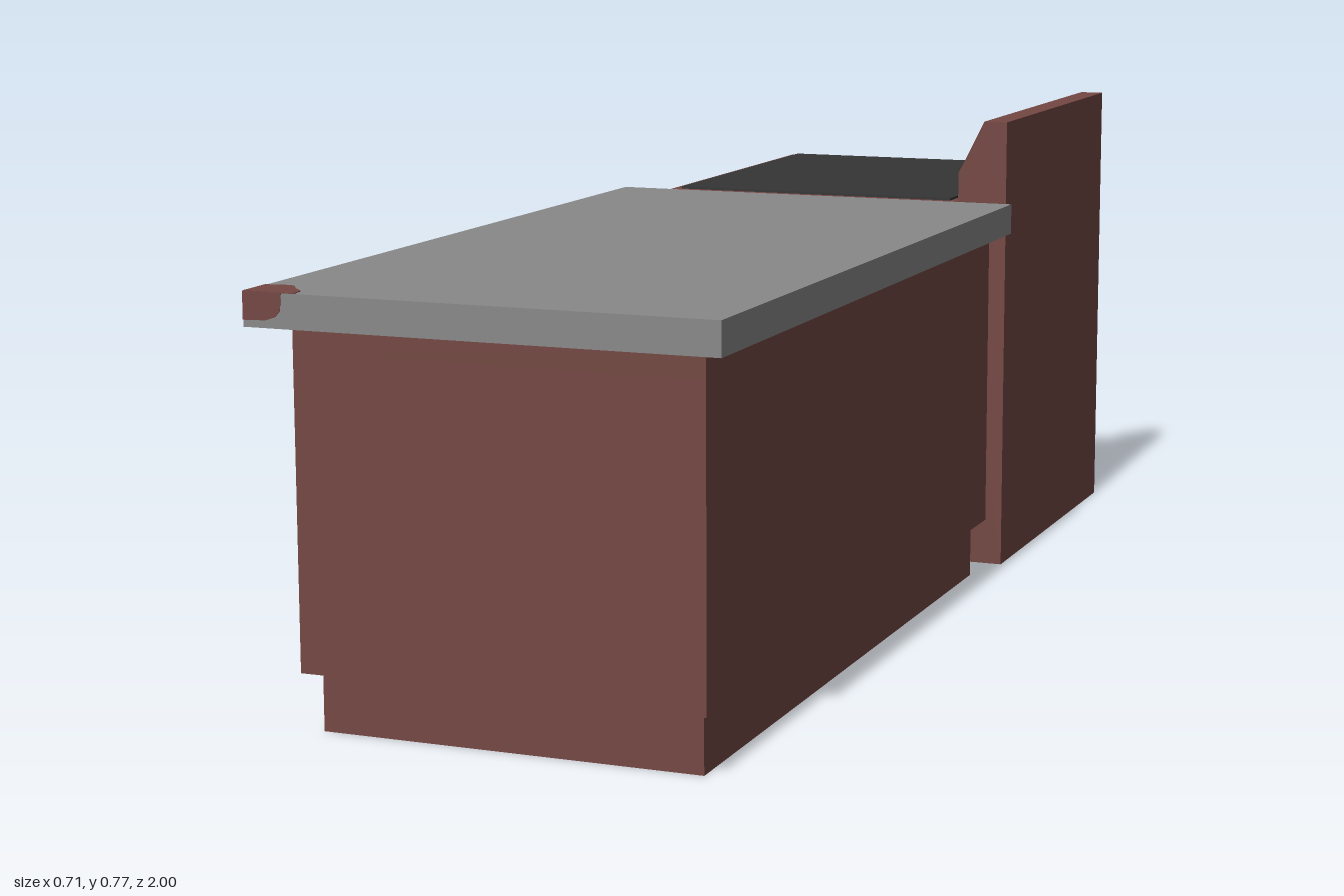
import * as THREE from 'three';

const brown = new THREE.MeshStandardMaterial({ color: 0x744843 });
brown.name = 'brown casing';
const grey = new THREE.MeshStandardMaterial({ color: 0x898989 });
grey.name = 'grey worktop';
const black = new THREE.MeshStandardMaterial({ color: 0x353535 });
black.name = 'black glass';

// Box given by its limits on each axis
function box(parent, name, mat, [x0, x1], [y0, y1], [z0, z1]) {
  const mesh = new THREE.Mesh(new THREE.BoxGeometry(x1 - x0, y1 - y0, z1 - z0), mat);
  mesh.position.set((x0 + x1) / 2, (y0 + y1) / 2, (z0 + z1) / 2);
  mesh.name = name;
  parent.add(mesh);
  return mesh;
}

const outline = (pts) => new THREE.Shape(pts.map(([a, b]) => new THREE.Vector2(a, b)));

// Thin plate cut from an outline, facing local +z
function plate(parent, name, mat, pts, depth) {
  const geo = new THREE.ExtrudeGeometry(outline(pts), { depth, bevelEnabled: false });
  const mesh = new THREE.Mesh(geo, mat);
  mesh.name = name;
  parent.add(mesh);
  return mesh;
}

function createCounter() {
  const g = new THREE.Group();
  g.name = 'counter';
  const X = [-0.29, 0.325], Y = [0.092, 0.585], Z = [-0.305, 0.98], t = 0.035;

  box(g, 'plinth', brown, [-0.273, 0.308], [0, Y[0]], [-0.275, 0.947]);

  // Cabinet shell, open towards -x in two bays
  const inY = [Y[0] + 0.042, Y[1] - t], inX = [X[0], X[1] - t];
  box(g, 'cabinetFloor', brown, X, [Y[0], inY[0]], Z);
  box(g, 'cabinetTop', brown, X, [inY[1], Y[1]], Z);
  box(g, 'cabinetBack', brown, [inX[1], X[1]], inY, Z);
  box(g, 'cabinetEndRear', brown, inX, inY, [Z[0], Z[0] + t]);
  box(g, 'cabinetEndFront', brown, inX, inY, [Z[1] - t, Z[1]]);
  const mid = (Z[0] + Z[1]) / 2;
  box(g, 'cabinetDivider', brown, inX, inY, [mid - t, mid + t]);

  box(g, 'worktop', grey, [-0.355, 0.355], [0.585, 0.635], [-0.333, 1]);

  // Worn corner of the worktop: thin patches on the three faces that meet there
  const e = 0.001;
  const front = plate(g, 'wornCornerFront', brown,
    [[0, 0], [0, -0.04], [0.035, -0.039], [0.05, -0.034], [0.058, -0.025], [0.06, 0]], e);
  front.position.set(-0.355, 0.635, 1);
  const top = plate(g, 'wornCornerTop', brown,
    [[0, 0], [0.08, 0], [0.077, 0.025], [0.06, 0.042], [0.045, 0.065], [0.025, 0.068], [0.012, 0.062], [0, 0.064]], e);
  top.rotation.x = -Math.PI / 2;
  top.position.set(-0.355, 0.635, 1);
  const side = plate(g, 'wornCornerSide', brown,
    [[0, 0], [-0.064, 0], [-0.058, -0.02], [-0.045, -0.034], [-0.02, -0.04], [0, -0.04]], e);
  side.rotation.y = -Math.PI / 2;
  side.position.set(-0.355, 0.635, 1);
  return g;
}

function createStove() {
  const g = new THREE.Group();
  g.name = 'stove';
  const Z = [-1, -0.368], midZ = (Z[0] + Z[1]) / 2, topY = 0.63;

  // Body and sloped back panel in one side profile
  const profile = [[-0.285, 0], [0.335, 0], [0.335, 0.77], [0.295, 0.77], [0.25, 0.68], [0.25, topY], [-0.285, topY]];
  const body = new THREE.Mesh(
    new THREE.ExtrudeGeometry(outline(profile), { depth: Z[1] - Z[0], bevelEnabled: false }), brown);
  body.position.z = Z[0];
  body.name = 'stoveBody';
  g.add(body);

  box(g, 'cooktop', black, [-0.269, 0.23], [topY, topY + 0.004], [Z[0] + 0.018, Z[1] - 0.018]);

  // Display on the slope, with clipped corners
  const w = 0.3, h = 0.038, c = 0.018;
  const display = plate(g, 'display', black,
    [[-w + c, -h], [w - c, -h], [w, -h + c], [w, h - c], [w - c, h], [-w + c, h], [-w, h - c], [-w, -h + c]], 0.002);
  const up = new THREE.Vector3(0.045, 0.09, 0).normalize();
  const out = new THREE.Vector3(-up.y, up.x, 0);
  const across = new THREE.Vector3().crossVectors(up, out);
  display.quaternion.setFromRotationMatrix(new THREE.Matrix4().makeBasis(across, up, out));
  display.position.set(0.2725, 0.725, midZ);

  // Control knob: local +y points out of the stove side
  const knob = new THREE.Group();
  knob.name = 'knob';
  const dial = new THREE.Mesh(new THREE.CylinderGeometry(0.063, 0.063, 0.04, 32), grey);
  dial.position.y = 0.02;
  dial.name = 'knobDial';
  const gripShape = new THREE.Shape();
  const r = 0.013, half = 0.059;
  gripShape.absarc(half - r, 0, r, -Math.PI / 2, Math.PI / 2);
  gripShape.absarc(-half + r, 0, r, Math.PI / 2, Math.PI * 1.5);
  const grip = new THREE.Mesh(new THREE.ExtrudeGeometry(gripShape, {
    depth: 0.017, bevelThickness: 0.003, bevelSize: 0.003, bevelOffset: -0.003, bevelSegments: 1, curveSegments: 8,
  }), grey);
  grip.rotation.x = -Math.PI / 2;
  grip.position.y = 0.04;
  grip.name = 'knobGrip';
  knob.add(dial, grip);
  knob.rotation.z = Math.PI / 2;
  knob.position.set(-0.285, 0.534, midZ);
  g.add(knob);
  return g;
}

export function createModel() {
  const model = new THREE.Group();
  model.name = 'kitchenCounterAndStove';
  model.add(createCounter(), createStove());
  return model;
}
